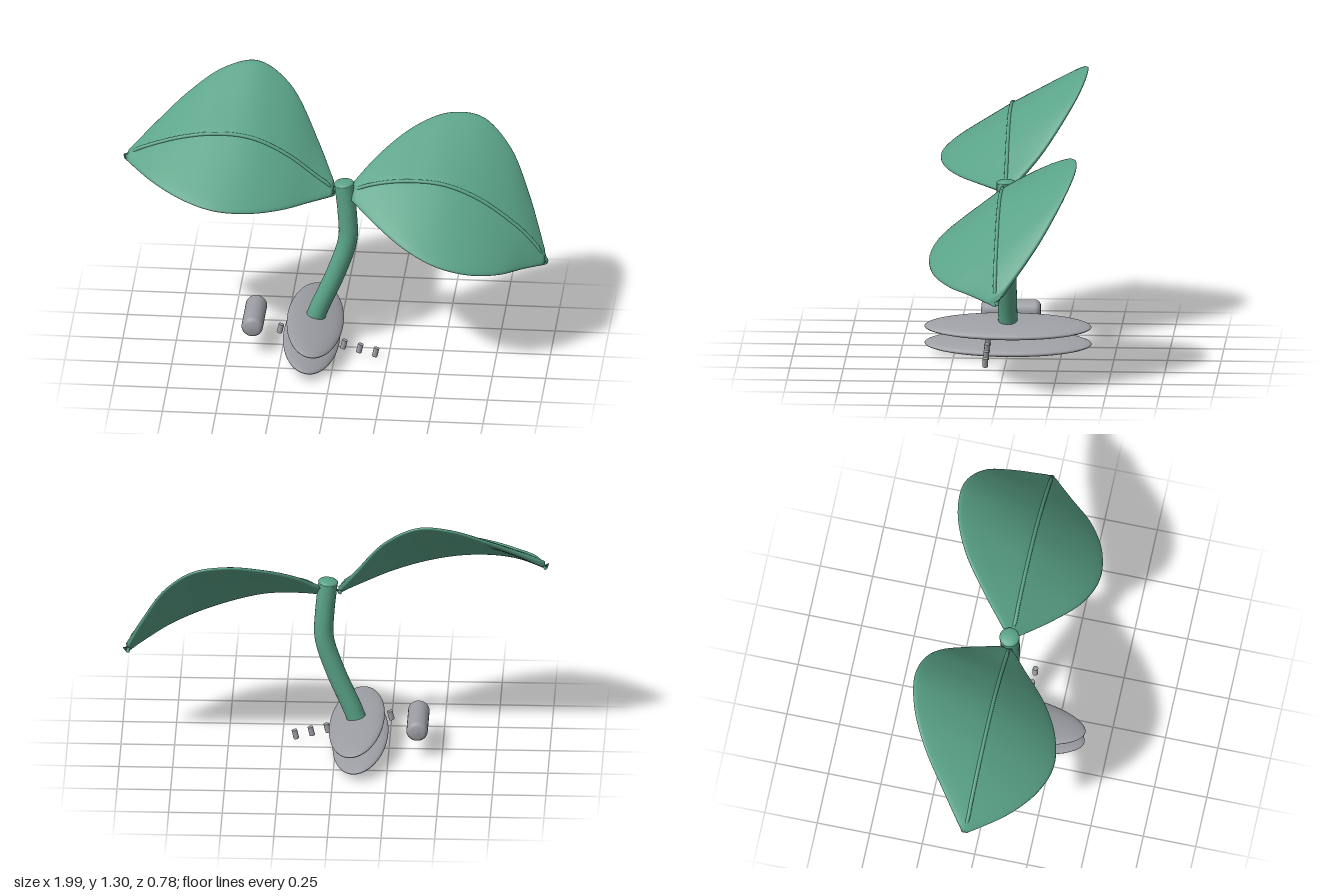
import * as THREE from 'three';

const green = new THREE.MeshStandardMaterial({ color: 0x5aa388 });
green.name = 'leaf green';
const grey = new THREE.MeshStandardMaterial({ color: 0x9c9ea4 });
grey.name = 'base grey';

const TILT = -0.23; // lean of the base parts

function part(name, geometry, material, parent) {
  const mesh = new THREE.Mesh(geometry, material);
  mesh.name = name;
  parent.add(mesh);
  return mesh;
}

// Smooth curve from separate x, y and z lists
function curve(xs, ys, zs) {
  return new THREE.CatmullRomCurve3(xs.map((x, i) => new THREE.Vector3(x, ys[i], zs[i])));
}

// Rounded thin blade lofted through a front edge, a midline and a back edge, plus its rib
function makeLeaf(name, spec) {
  const { x, backY, backZ, midY, frontY, frontZ } = spec;
  const back = curve(x, backY, backZ);
  const mid = curve(x, midY, x.map(() => 0));
  const front = curve(x, frontY, frontZ);
  const half = 0.015;

  // v runs from -1 (front edge) through 0 (midline) to 1 (back edge)
  const surface = (u, v) => {
    const m = mid.getPoint(u);
    return (v < 0 ? front : back).getPoint(u).sub(m).multiplyScalar(Math.abs(v)).add(m);
  };
  const normal = (u, v) => {
    const e = 0.01;
    const a = Math.max(0.02, u - e), b = Math.min(0.98, u + e);
    const c = THREE.MathUtils.clamp(u, 0.02, 0.98);
    const along = surface(b, v).sub(surface(a, v));
    const across = back.getPoint(c).sub(front.getPoint(c));
    return along.cross(across).normalize();
  };

  const rows = 48, cols = 40, pos = [], index = [];
  for (let i = -1; i <= rows + 1; i++) {
    const u = THREE.MathUtils.clamp(i / rows, 0, 1);
    const open = i >= 0 && i <= rows; // first and last rings collapse to close the ends
    for (let j = 0; j < cols; j++) {
      const a = (j / cols) * Math.PI * 2;
      const v = open ? Math.cos(a) : 0;
      const s = Math.sin(a);
      const h = open ? half * Math.sign(s) * Math.sqrt(Math.abs(s)) : 0;
      const p = surface(u, v).addScaledVector(normal(u, v), h);
      pos.push(p.x, p.y, p.z);
    }
  }
  for (let i = 0; i < rows + 2; i++) {
    for (let j = 0; j < cols; j++) {
      const k = (j + 1) % cols;
      const a = i * cols + j, b = i * cols + k, c = a + cols, d = b + cols;
      index.push(a, b, c, b, d, c);
    }
  }
  const blade = new THREE.BufferGeometry();
  blade.setAttribute('position', new THREE.Float32BufferAttribute(pos, 3));
  blade.setIndex(index);
  blade.computeVertexNormals();

  const group = new THREE.Group();
  group.name = name;
  part('blade', blade, green, group);

  const ribPoints = [];
  for (let i = 0; i <= 16; i++) {
    ribPoints.push(surface(i / 16, 0).addScaledVector(normal(i / 16, 0), half));
  }
  const ribPath = new THREE.CatmullRomCurve3(ribPoints);
  part('rib', new THREE.TubeGeometry(ribPath, 48, 0.009, 10), green, group);
  return group;
}

export function createModel() {
  const model = new THREE.Group();
  model.name = 'sprout';

  // Leaves
  model.add(makeLeaf('rightLeaf', {
    x: [-0.99, -0.85, -0.7, -0.55, -0.4, -0.25, -0.1, -0.01],
    backY: [0.955, 1.075, 1.19, 1.275, 1.3, 1.21, 0.98, 0.82],
    backZ: [-0.01, -0.13, -0.25, -0.33, -0.36, -0.32, -0.17, -0.03],
    midY: [0.955, 1.015, 1.06, 1.08, 1.065, 0.995, 0.88, 0.81],
    frontY: [0.945, 0.915, 0.88, 0.85, 0.83, 0.815, 0.805, 0.8],
    frontZ: [0.01, 0.18, 0.29, 0.335, 0.31, 0.23, 0.1, 0.02],
  }));
  model.add(makeLeaf('leftLeaf', {
    x: [0.06, 0.2, 0.35, 0.5, 0.65, 0.78, 0.88, 0.98],
    backY: [0.83, 0.95, 1.035, 1.075, 1.055, 0.94, 0.75, 0.5],
    backZ: [-0.02, -0.16, -0.28, -0.345, -0.355, -0.3, -0.19, -0.01],
    midY: [0.81, 0.855, 0.872, 0.86, 0.8, 0.71, 0.62, 0.49],
    frontY: [0.79, 0.725, 0.66, 0.6, 0.555, 0.525, 0.505, 0.48],
    frontZ: [0.02, 0.17, 0.29, 0.335, 0.31, 0.23, 0.12, 0.01],
  }));

  // Bent stem with a shallow rounded cap
  const stemPath = curve(
    [-0.105, -0.08, 0, 0.052, 0.05, 0.034],
    [0.14, 0.21, 0.4, 0.57, 0.7, 0.855],
    [0, 0, 0, 0, 0, 0]);
  part('stem', new THREE.TubeGeometry(stemPath, 40, 0.045, 24), green, model);
  const cap = part('stemCap', new THREE.SphereGeometry(0.047, 24, 12), green, model);
  cap.scale.y = 0.35;
  cap.position.set(0.034, 0.855, 0);
  cap.rotation.z = 0.1;

  // Two tilted lens-shaped base discs
  for (const [name, x, y] of [['upperDisc', -0.1, 0.137], ['lowerDisc', -0.117, 0.053]]) {
    const disc = part(name, new THREE.SphereGeometry(1, 48, 24), grey, model);
    disc.scale.set(0.133, 0.031, 0.39);
    disc.position.set(x, y, 0);
    disc.rotation.z = TILT;
  }

  // Round-edged roller beside the base
  const profile = [[0, -0.14], [0.03, -0.138], [0.043, -0.13], [0.05, -0.115],
    [0.05, 0.115], [0.043, 0.13], [0.03, 0.138], [0, 0.14]];
  const roller = part('roller', new THREE.LatheGeometry(
    profile.map(([r, y]) => new THREE.Vector2(r, y)), 32), grey, model);
  roller.rotation.x = Math.PI / 2;
  roller.position.set(-0.385, 0.15, 0);

  // Row of small pegs running through the base
  for (let i = 0; i < 7; i++) {
    const peg = part('peg', new THREE.CylinderGeometry(0.013, 0.013, 0.043, 16), grey, model);
    peg.position.set(-0.255 + 0.0742 * i, 0.135 - 0.0175 * i, 0.09);
    peg.rotation.z = TILT;
  }
  return model;
}
